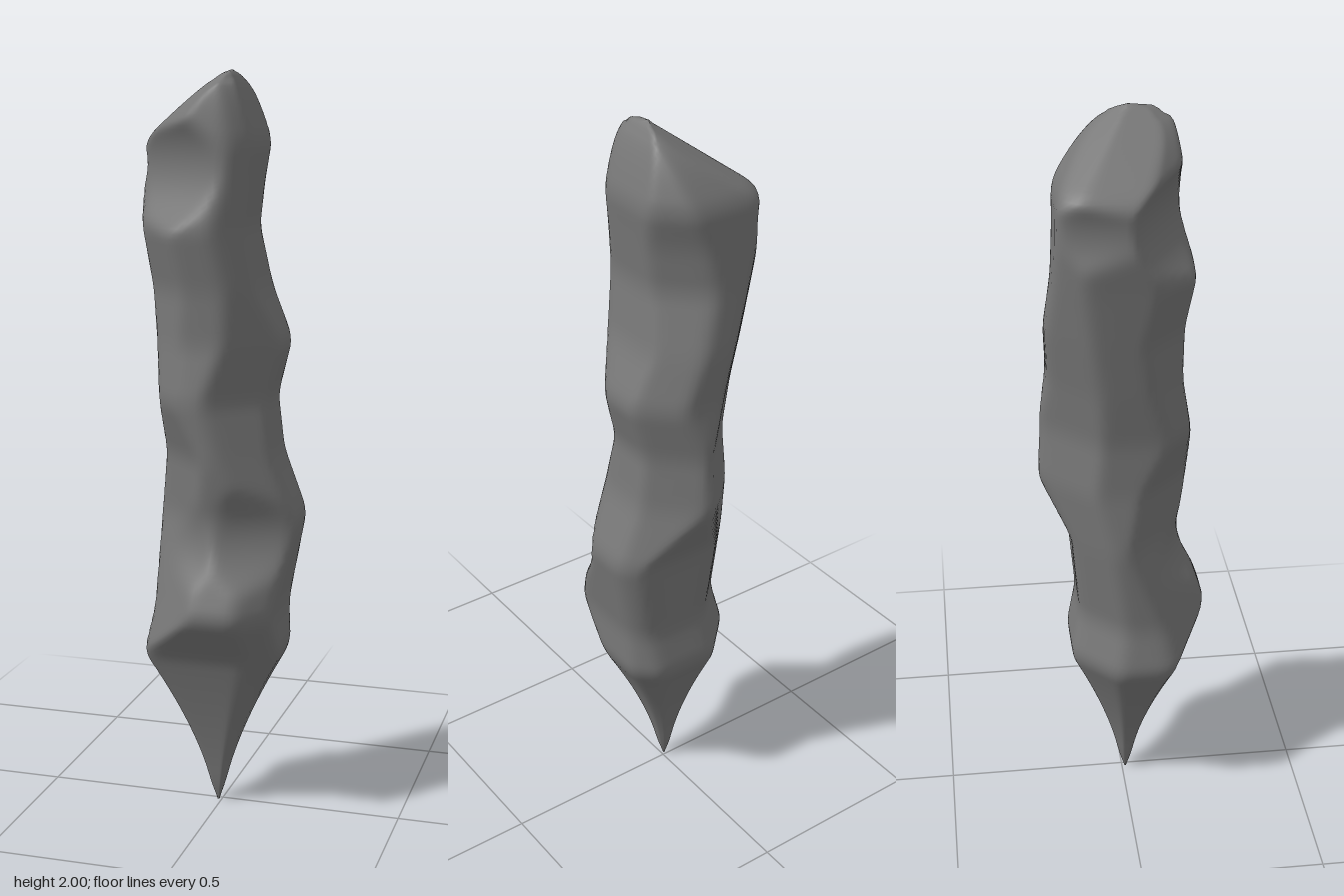
import * as THREE from 'three';

// Knobbly middle: [height, then reach in eight directions from +x, turning 45 degrees at a time towards +z]
const knobs = [
  [0.45, 0.175, 0.165, 0.13, 0.225, 0.193, 0.157, 0.15, 0.187],
  [0.58, 0.173, 0.23, 0.234, 0.19, 0.166, 0.122, 0.122, 0.18],
  [0.83, 0.217, 0.187, 0.152, 0.128, 0.174, 0.152, 0.143, 0.22],
  [1.0, 0.15, 0.15, 0.178, 0.133, 0.15, 0.165, 0.228, 0.176],
  [1.15, 0.132, 0.12, 0.178, 0.185, 0.147, 0.152, 0.224, 0.165],
  [1.3, 0.172, 0.14, 0.154, 0.165, 0.167, 0.17, 0.197, 0.189],
  [1.44, 0.113, 0.145, 0.158, 0.16, 0.183, 0.195, 0.204, 0.157],
  [1.6, 0.087, 0.14, 0.184, 0.198, 0.2, 0.22, 0.186, 0.11],
  [1.72, 0.1, 0.142, 0.155, 0.185, 0.217, 0.237, 0.178, 0.12],
  [1.82, 0.112, 0.147, 0.152, 0.175, 0.21, 0.243, 0.174, 0.145],
];
const first = knobs[0], last = knobs[knobs.length - 1];
// How each side of the crown closes: 1 is a straight slope, smaller is a shoulder
const crownCurve = [0.6, 0.22, 0.11, 0.45, 1, 1, 0.55, 0.4];
const tip = [-0.01, 0.01], peak = [0.03, 0.02];
// Scooped facets: angle from +x towards +z, distance from the axis, height of the middle
const facets = [[121, 0.118, 1.76], [193, 0.203, 1.75], [60, 0.147, 0.82], [120, 0.135, 0.8]];

const heading = degrees => {
  const a = THREE.MathUtils.degToRad(degrees);
  return [Math.cos(a), Math.sin(a)];
};
const dot = (p, q) => p[0] * q[0] + p[1] * q[1];
const directions = crownCurve.map((_, i) => heading(i * 45));
const normals = [...directions, ...facets.map(f => heading(f[0]))];

// Distance from the axis to the side facing direction i
function reach(i, y) {
  if (y < first[0]) {
    const flare = (y / first[0]) ** 1.5;
    const blunt = 0.013 * Math.min(1, Math.sqrt(y / 0.06));
    return THREE.MathUtils.lerp(dot(tip, directions[i]) + blunt, first[i + 1], flare);
  }
  if (y > last[0]) {
    const left = (2 - y) / (2 - last[0]);
    return THREE.MathUtils.lerp(dot(peak, directions[i]), last[i + 1], left ** crownCurve[i]);
  }
  const k = Math.max(1, knobs.findIndex(row => row[0] >= y));
  const a = knobs[k - 1], b = knobs[k];
  return THREE.MathUtils.lerp(a[i + 1], b[i + 1], (y - a[0]) / (b[0] - a[0]));
}

// Averages nearby heights so ridges are softly rounded
function softReach(i, y) {
  const w = Math.min(0.028, y, 2 - y);
  let sum = 0;
  for (let s = -3; s <= 3; s++) sum += reach(i, THREE.MathUtils.clamp(y + w * s / 3, 0, 2));
  return sum / 7;
}

// Rounded polygonal cross-section bounded by the eight reaches and the facets
function section(y, sides) {
  const h = directions.map((_, i) => softReach(i, y));
  const centre = [(h[0] - h[4]) / 2, (h[2] - h[6]) / 2];
  const scoops = facets.map(f => f[1] + 3 * (y - f[2]) ** 2);
  const local = [...h, ...scoops].map((v, i) => Math.max(0.003, v - dot(centre, normals[i])));
  const ring = [];
  for (let s = 0; s < sides; s++) {
    const ray = heading(s / sides * 360);
    const sum = local.reduce((t, v, i) => t + Math.max(0, dot(ray, normals[i]) / v) ** 24, 0);
    const r = sum ** (-1 / 24);
    ring.push(centre[0] + r * ray[0], y, centre[1] + r * ray[1]);
  }
  return { ring, middle: [centre[0], y, centre[1]] };
}

function shaftGeometry(rows = 150, sides = 72) {
  const positions = [], index = [], middles = [];
  for (let j = 0; j <= rows; j++) {
    // Rows crowd together towards both ends
    const t = j / rows, y = 1.2 * t + 0.4 * (1 - Math.cos(Math.PI * t));
    const { ring, middle } = section(y, sides);
    positions.push(...ring);
    middles.push(middle);
    for (let s = 0; s < sides && j < rows; s++) {
      const a = j * sides + s, b = j * sides + (s + 1) % sides;
      index.push(a, a + sides, b, b, a + sides, b + sides);
    }
  }
  // Close the tip and the crown
  const end = (rows + 1) * sides, topRow = rows * sides;
  positions.push(...middles[0], ...middles[rows]);
  for (let s = 0; s < sides; s++) {
    const n = (s + 1) % sides;
    index.push(end, s, n, end + 1, topRow + n, topRow + s);
  }
  const geometry = new THREE.BufferGeometry();
  geometry.setAttribute('position', new THREE.Float32BufferAttribute(positions, 3));
  geometry.setIndex(index);
  geometry.computeVertexNormals();
  return geometry;
}

export function createModel() {
  const group = new THREE.Group();
  group.name = 'hewnStake';
  const shaft = new THREE.Mesh(shaftGeometry(), new THREE.MeshStandardMaterial({ color: 0x777777 }));
  shaft.name = 'pointedShaft';
  group.add(shaft);
  return group;
}
